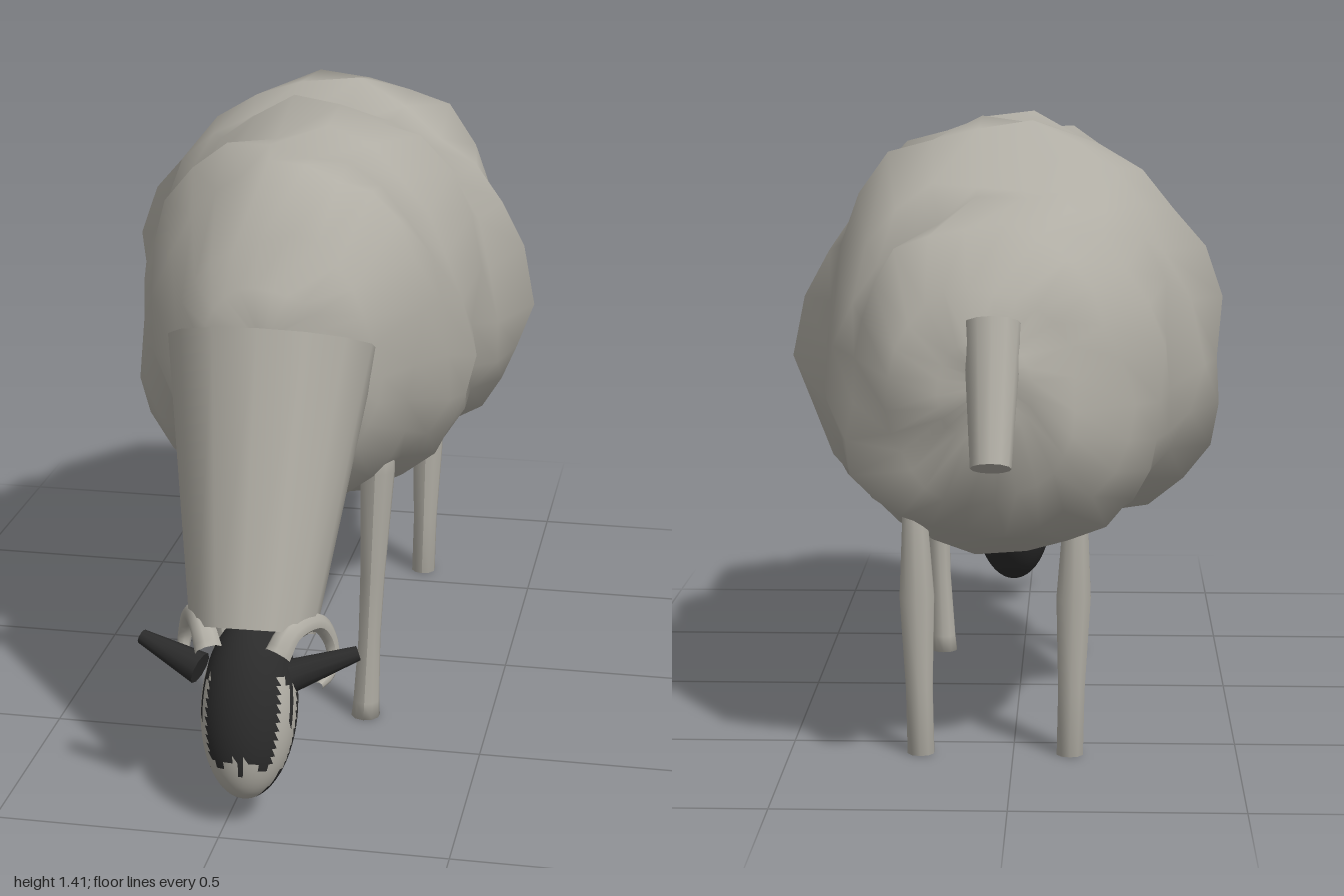
import * as THREE from 'three';

const CX = 0.04; // the head, neck and tail sit slightly off centre
const wool = new THREE.MeshStandardMaterial({ color: 0xb0ada4 });
wool.name = 'wool grey';
const dark = new THREE.MeshStandardMaterial({ color: 0x2b2b2b });
dark.name = 'face black';

function add(parent, name, geometry, material) {
  const mesh = new THREE.Mesh(geometry, material);
  mesh.name = name;
  parent.add(mesh);
  return mesh;
}

// Tapered cylinder between two points
function rod(parent, name, a, b, ra, rb, material, sides = 12) {
  const from = new THREE.Vector3(...a), to = new THREE.Vector3(...b);
  const dir = to.clone().sub(from);
  const mesh = add(parent, name, new THREE.CylinderGeometry(rb, ra, dir.length(), sides), material);
  mesh.position.copy(from).add(to).multiplyScalar(0.5);
  mesh.quaternion.setFromUnitVectors(new THREE.Vector3(0, 1, 0), dir.normalize());
  return mesh;
}

// Skin over closed rings running from front to back
function skin(rings) {
  const n = rings[0].length, index = [];
  for (let i = 0; i < rings.length - 1; i++) {
    for (let j = 0; j < n; j++) {
      const a = i * n + j, b = i * n + (j + 1) % n;
      index.push(a, a + n, b, b, a + n, b + n);
    }
  }
  const g = new THREE.BufferGeometry();
  g.setAttribute('position', new THREE.Float32BufferAttribute(rings.flat(2), 3));
  g.setIndex(index);
  g.computeVertexNormals();
  return g;
}

// Lumpy fleece: z, right edge, left edge, bottom, top
function fleece() {
  const sections = [
    [0.64, 0.0, 0.06, 0.95, 1.03], [0.62, -0.12, 0.17, 0.82, 1.12],
    [0.55, -0.2, 0.27, 0.68, 1.21], [0.45, -0.25, 0.35, 0.58, 1.37],
    [0.3, -0.34, 0.38, 0.52, 1.37], [0.15, -0.38, 0.42, 0.48, 1.35],
    [0, -0.38, 0.43, 0.47, 1.41], [-0.13, -0.42, 0.44, 0.46, 1.36],
    [-0.28, -0.49, 0.5, 0.46, 1.38], [-0.36, -0.4, 0.45, 0.44, 1.4],
    [-0.5, -0.36, 0.42, 0.45, 1.29], [-0.64, -0.34, 0.39, 0.49, 1.24],
    [-0.76, -0.25, 0.36, 0.53, 1.2], [-0.83, -0.14, 0.26, 0.62, 1.08],
    [-0.87, -0.05, 0.15, 0.76, 0.98], [-0.88, 0.02, 0.07, 0.85, 0.92],
  ];
  const sides = 26;
  return skin(sections.map(([z, x0, x1, y0, y1], i) => {
    const ring = [], mx = (x0 + x1) / 2, my = y0 + (y1 - y0) * 0.43;
    const edge = Math.min(1, i / 3, (sections.length - 1 - i) / 3);
    for (let j = 0; j < sides; j++) {
      const t = j / sides * Math.PI * 2, c = Math.cos(t), s = Math.sin(t);
      const px = Math.sign(c) * Math.abs(c) ** 0.92, py = Math.sign(s) * Math.abs(s) ** 0.92;
      const lump = 1 + edge * (0.035 * Math.sin(3 * t + i * 1.9) + 0.03 * Math.sin(5 * t - i * 2.3)
        + 0.02 * Math.sin(9 * t + i * 4.1) - 0.01);
      const rx = (x1 - x0) / 2 * lump, ry = (s > 0 ? y1 - my : my - y0) * lump;
      ring.push([mx + px * rx, my + py * ry, z + edge * 0.025 * Math.sin(4 * t + i * 2.7)]);
    }
    return ring;
  }));
}

// Face with ragged pale streaks on the cheeks and a pale muzzle
function faceGeometry() {
  const g = new THREE.SphereGeometry(1, 48, 32);
  const p = g.attributes.position, source = g.index.array, lists = [[], []];
  for (let i = 0; i < source.length; i += 3) {
    const tri = [source[i], source[i + 1], source[i + 2]];
    const mid = f => (p[f](tri[0]) + p[f](tri[1]) + p[f](tri[2])) / 3;
    const x = mid('getX'), y = mid('getY'), z = mid('getZ');
    const phi = Math.atan2(Math.abs(x), z);
    const column = Math.floor(Math.atan2(x, z) / (Math.PI * 2) * 48);
    const jag = Math.abs(Math.sin(column * 12.9898) * 43.7) % 1;
    let limit = -2;
    if (phi < 0.85) limit = -0.72 + 0.22 * jag;
    else if (phi < 1.5) limit = -0.25 + 0.85 * jag;
    const low = phi > 1.15 ? -0.85 + 0.3 * jag : -2;
    lists[y < limit && y > low ? 1 : 0].push(...tri);
  }
  g.setIndex([...lists[0], ...lists[1]]);
  g.clearGroups();
  g.addGroup(0, lists[0].length, 0);
  g.addGroup(lists[0].length, lists[1].length, 1);
  g.scale(0.105, 0.2, 0.112);
  return g;
}

// Curled horn, a tube shrinking toward its tip
function hornGeometry(side) {
  const curve = new THREE.CatmullRomCurve3([
    [0.075, 0.4, 0.92], [0.095, 0.44, 0.89], [0.14, 0.43, 0.8],
    [0.165, 0.36, 0.765], [0.165, 0.31, 0.79], [0.15, 0.3, 0.84],
  ].map(([x, y, z]) => new THREE.Vector3(CX + side * x, y, z)));
  const steps = 20, sides = 8;
  const g = new THREE.TubeGeometry(curve, steps, 0.03, sides);
  const p = g.attributes.position, v = new THREE.Vector3();
  for (let i = 0; i <= steps; i++) {
    const c = curve.getPointAt(i / steps);
    for (let j = 0; j <= sides; j++) {
      const k = i * (sides + 1) + j;
      v.fromBufferAttribute(p, k).sub(c).multiplyScalar(1 - 0.7 * i / steps).add(c);
      p.setXYZ(k, v.x, v.y, v.z);
    }
  }
  g.computeVertexNormals();
  return g;
}

// Leg turned from a profile, leaning outward toward the top
function legGeometry(profile, lean) {
  const points = [[0.0001, 0], ...profile, [0.0001, profile.at(-1)[1]]];
  const g = new THREE.LatheGeometry(points.map(q => new THREE.Vector2(...q)), 10);
  const p = g.attributes.position;
  for (let i = 0; i < p.count; i++) p.setX(i, p.getX(i) + lean * p.getY(i));
  g.computeVertexNormals();
  return g;
}

export function createModel() {
  const model = new THREE.Group();
  model.name = 'grazingSheep';

  add(model, 'fleece', fleece(), wool);
  rod(model, 'neck', [CX - 0.005, 0.985, 0.565], [CX, 0.41, 0.82], 0.23, 0.137, wool, 14);
  rod(model, 'tail', [0.035, 1.0, -0.835], [0.035, 0.717, -0.96], 0.062, 0.043, wool, 12);

  // Head
  const head = new THREE.Group();
  head.name = 'head';
  model.add(head);
  const face = add(head, 'face', faceGeometry(), [dark, wool]);
  face.position.set(CX + 0.003, 0.255, 0.873);
  face.rotation.x = -0.3;
  for (const s of [-1, 1]) {
    const side = s > 0 ? 'left' : 'right';
    rod(head, side + 'Ear', [CX + s * 0.1, 0.345, 0.895], [CX + s * 0.238, 0.392, 0.857], 0.036, 0.016, dark, 10);
    add(head, side + 'Horn', hornGeometry(s), wool);
  }

  // Legs
  const front = [[0.034, 0], [0.031, 0.04], [0.026, 0.2], [0.029, 0.36], [0.04, 0.62], [0.036, 0.69]];
  const back = [[0.031, 0], [0.031, 0.15], [0.04, 0.36], [0.03, 0.52], [0.025, 0.65]];
  for (const s of [-1, 1]) {
    const side = s > 0 ? 'Left' : 'Right';
    const f = add(model, 'front' + side + 'Leg', legGeometry(front, s * 0.04), wool);
    f.position.set(CX + s * 0.167, 0, 0.34);
    const b = add(model, 'back' + side + 'Leg', legGeometry(back, s * 0.02), wool);
    b.position.set(CX + s * 0.167, 0, -0.583);
  }
  return model;
}
